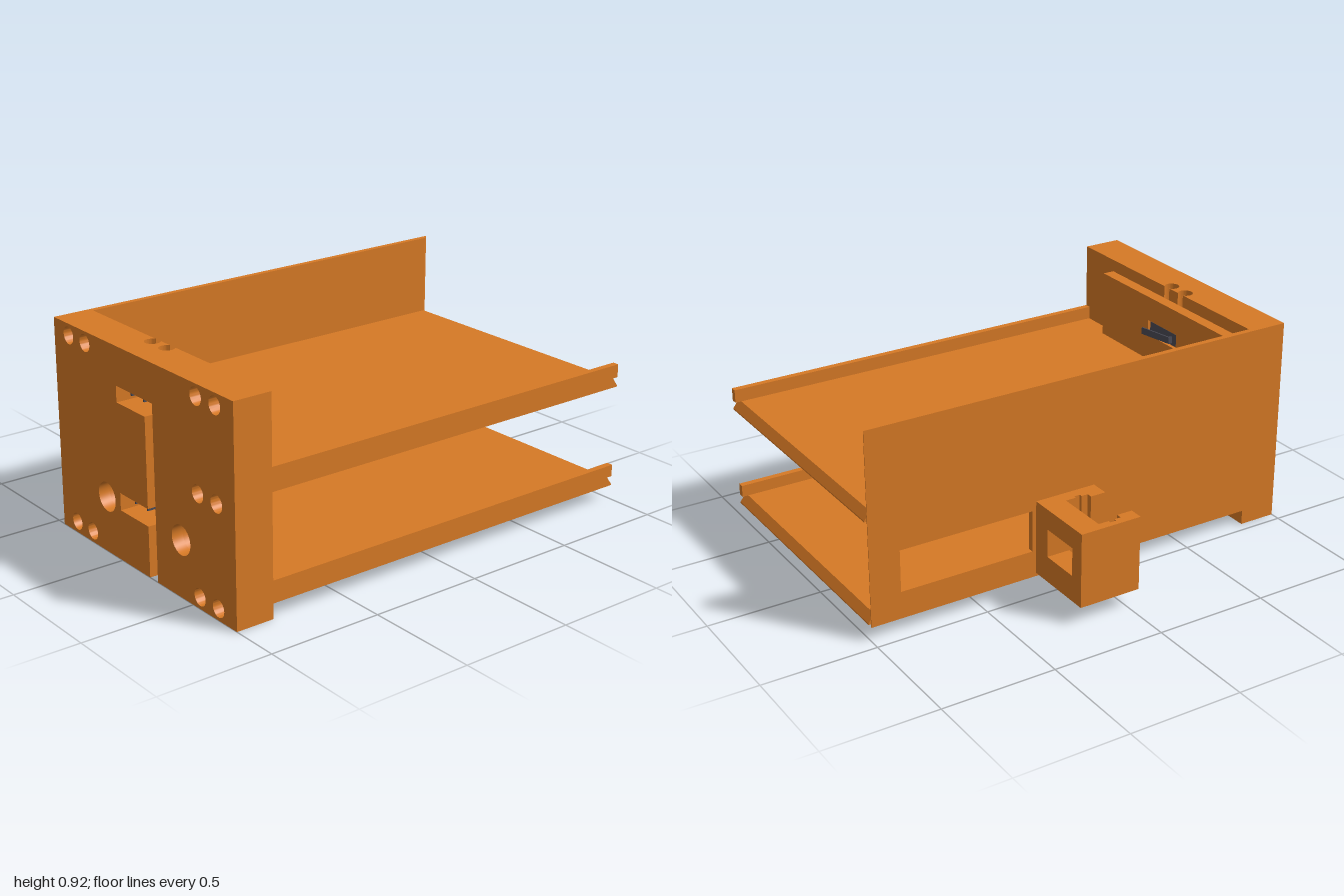
import * as THREE from 'three';
import { toCreasedNormals } from 'three/addons/utils/BufferGeometryUtils.js';

export function createModel() {
  const model = new THREE.Group();
  const orange = new THREE.MeshStandardMaterial({ color: 0xd67925 });
  orange.name = 'orange plastic';
  const grey = new THREE.MeshStandardMaterial({ color: 0x4b4b56 });
  grey.name = 'dark grey';

  // Shape helpers
  const poly = (pts) => new THREE.Shape(pts.map(([a, b]) => new THREE.Vector2(a, b)));
  const rect = (a0, a1, b0, b1) => poly([[a0, b0], [a1, b0], [a1, b1], [a0, b1]]);
  const circle = (a, b, r) => new THREE.Path().absarc(a, b, r, 0, Math.PI * 2, true);

  // Extrude a shape along one axis between two positions
  function slab(name, axis, shape, from, to, material = orange, parent = model) {
    let g = new THREE.ExtrudeGeometry(shape, { depth: to - from, bevelEnabled: false, curveSegments: 20 });
    if (axis === 'x') g.rotateY(-Math.PI / 2).translate(to, 0, 0); // shape is (z, y)
    if (axis === 'y') g.rotateX(Math.PI / 2).translate(0, to, 0); // shape is (x, z)
    if (axis === 'z') g.translate(0, 0, from); // shape is (x, y)
    g = toCreasedNormals(g, 0.6);
    const mesh = new THREE.Mesh(g, material);
    mesh.name = name;
    parent.add(mesh);
    return mesh;
  }
  function group(name) {
    const g = new THREE.Group();
    g.name = name;
    model.add(g);
    return g;
  }

  const L = -0.455, R = 0.785, TOP = 0.915;
  const slots = [[0.22, 0.295], [0.68, 0.75]];
  const S0 = 0, S1 = 0.21;

  // Front plate: screw holes, switch slots and a shallow cable channel
  const plate = group('frontPlate');
  const bores = [[-0.1, 0.245, 0.063], [0.427, 0.245, 0.063]];
  for (const x of [-0.345, -0.223, 0.547, 0.668])
    for (const y of [0.05, 0.478, 0.865])
      if (x > 0 || y !== 0.478) bores.push([x, y, 0.037]);
  const drill = (shape) => {
    for (const b of bores) shape.holes.push(circle(...b));
    return shape;
  };
  const face = drill(poly([[L, 0], [0.2, 0], [0.2, 0.22], [S0, 0.22], [S0, 0.295], [0.2, 0.295],
    [0.2, 0.68], [S0, 0.68], [S0, 0.75], [0.255, 0.75], [0.255, 0], [R, 0], [R, TOP], [L, TOP]]));
  slab('plateFace', 'z', face, 0.95, 1, orange, plate);
  const core = drill(rect(L, R, 0, TOP));
  for (const [y0, y1] of slots) core.holes.push(rect(S0, S1, y0, y1));
  slab('plateCore', 'z', core, 0.895, 0.95, orange, plate);

  // Rear layer of the plate with vertical keyhole pin bores open to the back
  const back = new THREE.Shape();
  back.moveTo(L, 0.83);
  const neck = 0.018, r = 0.033, pinZ = 0.857, a = Math.asin(neck / r);
  for (const x of [0.05, 0.15]) {
    back.lineTo(x - neck, 0.83);
    back.absarc(x, pinZ, r, -Math.PI / 2 - a, -Math.PI / 2 + a, true);
    back.lineTo(x + neck, 0.83);
  }
  back.lineTo(R, 0.83);
  back.lineTo(R, 0.895);
  back.lineTo(L, 0.895);
  for (const [y0, y1] of [[0, 0.22], [0.295, 0.68], [0.75, TOP]])
    slab('plateRear', 'y', back, y0, y1, orange, plate);
  for (const [y0, y1] of slots) {
    slab('plateRearLeft', 'y', rect(S1, R, 0.83, 0.895), y0, y1, orange, plate);
    slab('plateRearRight', 'y', rect(L, S0, 0.83, 0.895), y0, y1, orange, plate);
  }

  // Two trays, each with floor, side lip, inner pad and switch
  [[0.065, 0.107, 0.16, 0.41, 0], [0.52, 0.562, 0.62, 0.86, 1]].forEach(([y0, y1, lip, padTop, i]) => {
    const tray = group(i ? 'upperTray' : 'lowerTray');
    slab('trayFloor', 'x', poly([[0.83, y0], [0.83, y1], [-0.973, y1], [-1, y0 + 0.006], [-1, y0]]),
      -0.43, R, orange, tray);
    slab('trayLip', 'x', rect(-1, 0.83, y1, lip), 0.757, R, orange, tray);
    const pad = rect(-0.43, 0.567, y1, padTop);
    pad.holes.push(rect(S0, S1, ...slots[i]));
    slab('innerPad', 'z', pad, 0.777, 0.83, orange, tray);

    // Switch body with pin holes, terminals and a slanted lever
    const sw = group(i ? 'upperSwitch' : 'lowerSwitch');
    const s0 = slots[i][0] + 0.006, s1 = slots[i][1] - 0.006;
    const body = rect(0.006, 0.204, 0.785, 0.895);
    for (const x of [0.05, 0.15]) body.holes.push(circle(x, pinZ, 0.014));
    slab('switchBody', 'y', body, s0, s1, grey, sw);
    for (const x of [0.022, 0.11, 0.186])
      slab('switchTerminal', 'z', rect(x - 0.004, x + 0.004, s0 + 0.015, s1 - 0.015), 0.895, 0.945, grey, sw);
    slab('switchLever', 'y', poly([[0.04, 0.767], [0.2, 0.735], [0.2, 0.741], [0.046, 0.772], [0.046, 0.79], [0.04, 0.79]]),
      s0 + 0.01, s1 - 0.017, grey, sw);
  });

  // Side wall with a window and a chamfered rear edge
  const wall = group('sideWall');
  const strip = (front) => poly([[L, -1], [-0.452, -1], [-0.43, -0.973], [-0.43, front], [L, front]]);
  slab('wallBottom', 'y', strip(0.83), 0.065, 0.185, orange, wall);
  slab('wallRear', 'y', strip(-0.865), 0.185, 0.37, orange, wall);
  slab('wallFront', 'y', rect(L, -0.43, -0.258, 0.83), 0.185, 0.37, orange, wall);
  slab('wallTop', 'y', strip(0.83), 0.37, TOP, orange, wall);

  // Socket holder on the side: pocket open at top and front, window at the back
  const holder = group('socketHolder');
  const B = -0.785, cx = -0.63, zBack = -0.24, zFront = 0.04;
  slab('holderBase', 'y', rect(B, L, zBack, zFront), 0.08, 0.105, orange, holder);
  const side = (s) => [[0.093, zFront], [0.093, -0.03], [0.117, -0.03], [0.117, -0.06], [0.13, -0.06],
    [0.13, -0.088], [0.117, -0.088], [0.117, -0.135]].map(([x, z]) => [cx + s * x, z]);
  const ring = poly([[B, zFront], [B, zBack], [L, zBack], [L, zFront], ...side(1), ...side(-1).reverse()]);
  slab('holderLower', 'y', ring, 0.105, 0.195, orange, holder);
  slab('holderUpper', 'y', ring, 0.32, 0.41, orange, holder);
  for (const [s, edge] of [[1, L], [-1, B]])
    slab('holderCheek', 'y', poly([[edge, zFront], ...side(s), [cx + s * 0.09, -0.135],
      [cx + s * 0.09, zBack], [edge, zBack]]), 0.195, 0.32, orange, holder);

  return model;
}
